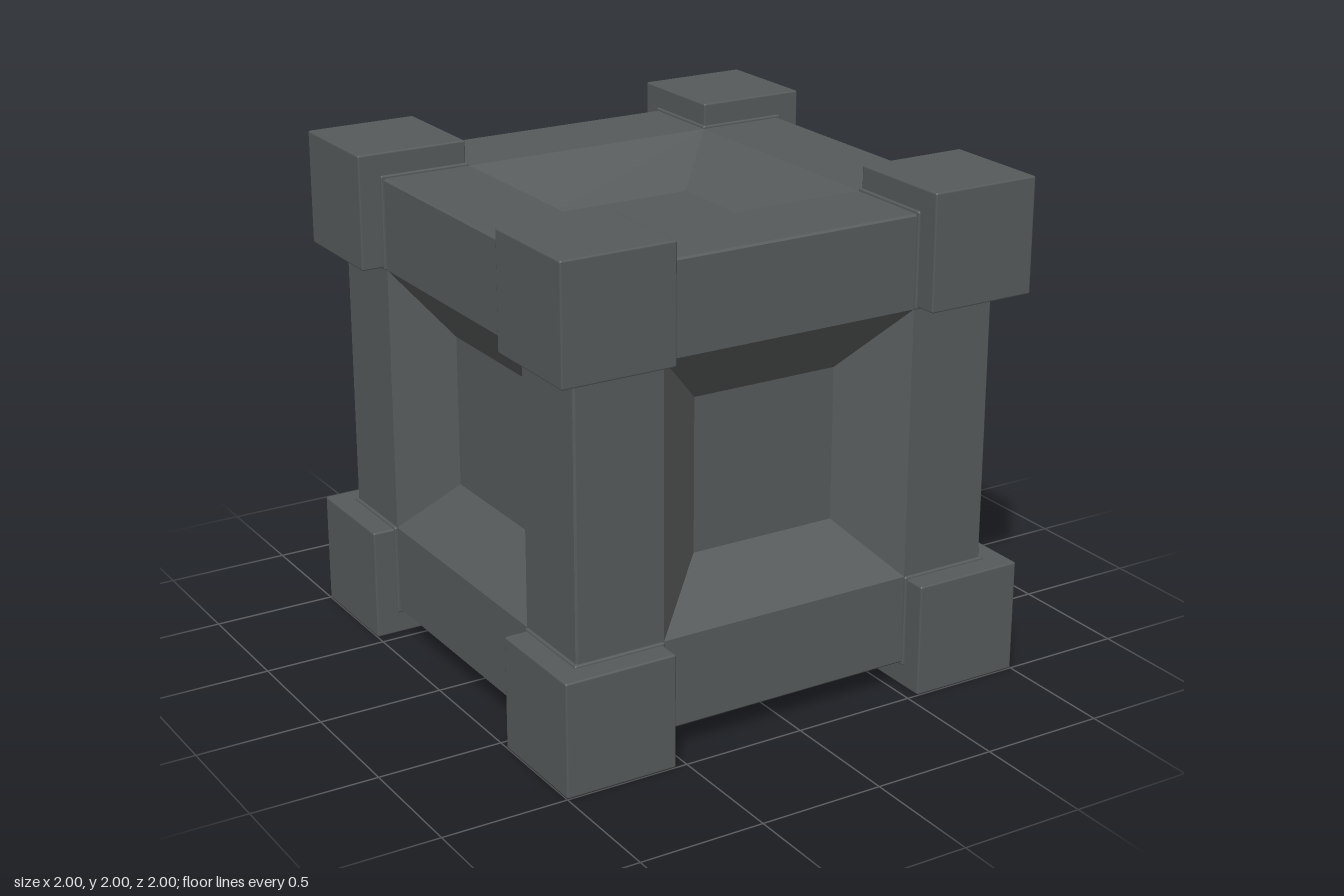
import * as THREE from 'three';
import { RoundedBoxGeometry } from 'three/addons/geometries/RoundedBoxGeometry.js';

// Square loops [half width, height above centre], joined by flat bands from outside in
function panelGeometry(loops) {
  const pos = [];
  const corner = ([r, h], i) => [[-r, -r, h], [r, -r, h], [r, r, h], [-r, r, h]][i % 4];
  for (let k = 0; k < loops.length - 1; k++) {
    for (let i = 0; i < 4; i++) {
      const a = corner(loops[k], i), b = corner(loops[k], i + 1);
      const c = corner(loops[k + 1], i + 1), d = corner(loops[k + 1], i);
      pos.push(...a, ...b, ...c, ...a, ...c, ...d);
    }
  }
  // Floor of the recess
  const last = loops[loops.length - 1];
  const [a, b, c, d] = [0, 1, 2, 3].map(i => corner(last, i));
  pos.push(...a, ...b, ...c, ...a, ...c, ...d);
  const g = new THREE.BufferGeometry();
  g.setAttribute('position', new THREE.Float32BufferAttribute(pos, 3));
  g.computeVertexNormals();
  return g;
}

export function createModel() {
  const model = new THREE.Group();
  model.name = 'crate';
  const metal = new THREE.MeshStandardMaterial({ color: 0x565a5a });
  metal.name = 'dark grey metal';

  const body = new THREE.Group();
  body.name = 'body';
  body.position.y = 1;
  model.add(body);

  // Six faces: bevelled edge, flat frame, sloping walls and sunken floor
  const panel = panelGeometry([[0.896, 0.896], [0.892, 0.9], [0.537, 0.9], [0.305, 0.73]]);
  const q = Math.PI / 2;
  const turns = {
    front: [0, 0], right: [0, -q], back: [0, 2 * q], left: [0, q], top: [-q, 0], bottom: [q, 0],
  };
  for (const [side, [rx, ry]] of Object.entries(turns)) {
    const mesh = new THREE.Mesh(panel, metal);
    mesh.name = side + 'Panel';
    mesh.rotation.set(rx, ry, 0);
    body.add(mesh);
  }

  // Eight corner blocks, each with a thin collar where it meets the frame
  const block = new RoundedBoxGeometry(0.455, 0.455, 0.455, 1, 0.008);
  const collar = new RoundedBoxGeometry(0.375, 0.375, 0.375, 1, 0.008);
  for (const x of [-1, 1]) for (const y of [-1, 1]) for (const z of [-1, 1]) {
    const corner = new THREE.Group();
    corner.name = 'corner';
    const b = new THREE.Mesh(block, metal);
    b.name = 'cornerBlock';
    b.position.set(x, y, z).multiplyScalar(0.7725);
    const c = new THREE.Mesh(collar, metal);
    c.name = 'cornerCollar';
    c.position.set(x, y, z).multiplyScalar(0.7235);
    corner.add(b, c);
    body.add(corner);
  }
  return model;
}
